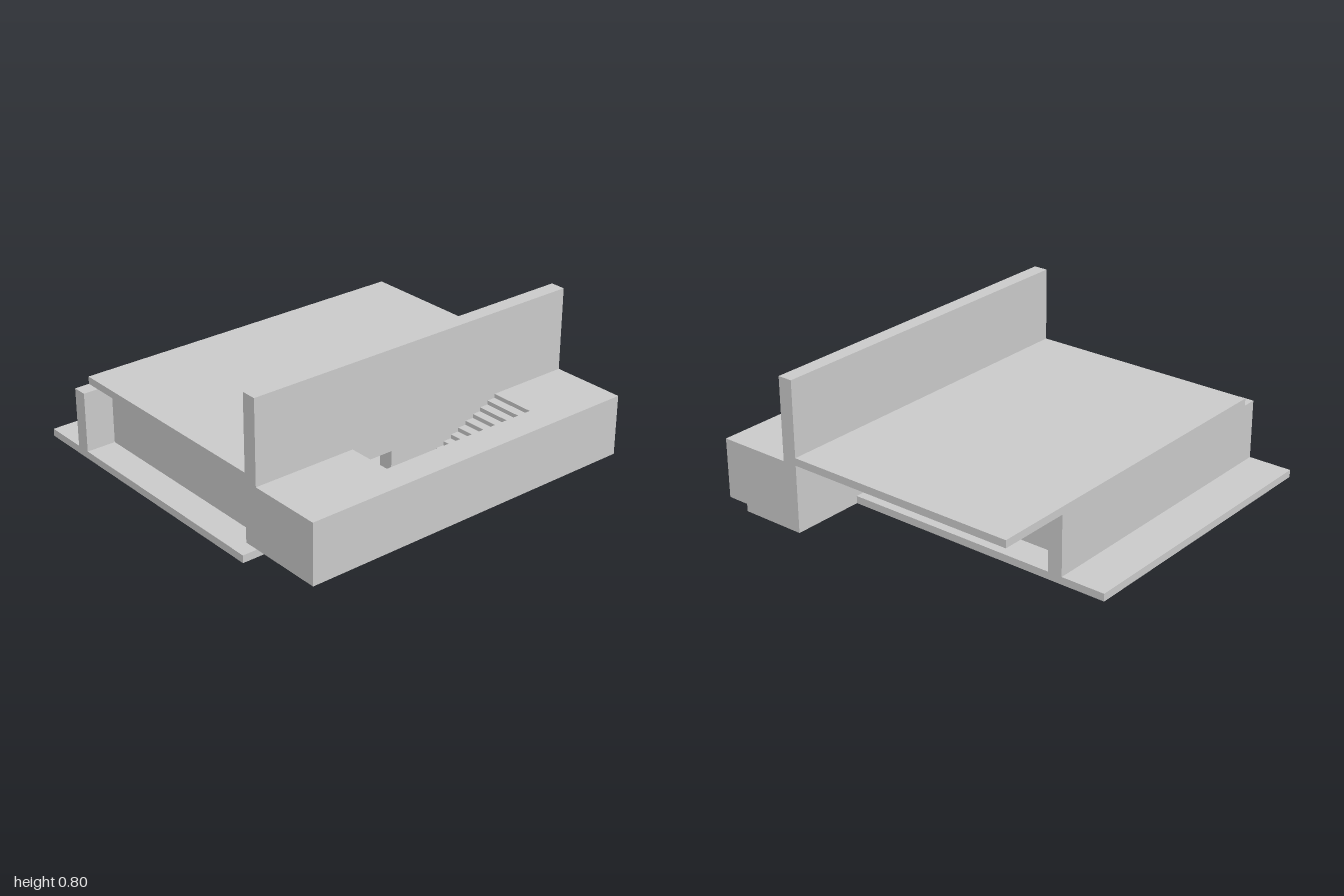
import * as THREE from 'three';

const material = new THREE.MeshStandardMaterial({ color: 0xcccccc, flatShading: true });

// Box given by its limits on each axis
function box(name, x0, x1, y0, y1, z0, z1) {
  const mesh = new THREE.Mesh(new THREE.BoxGeometry(x1 - x0, y1 - y0, z1 - z0), material);
  mesh.position.set((x0 + x1) / 2, (y0 + y1) / 2, (z0 + z1) / 2);
  mesh.name = name;
  return mesh;
}

function outline(points) {
  return new THREE.Shape(points.map(([x, y]) => new THREE.Vector2(x, y)));
}

// Upright extrusion: outline in (x, y), running from z0 to z1
function upright(name, points, z0, z1) {
  const geometry = new THREE.ExtrudeGeometry(outline(points), { depth: z1 - z0, bevelEnabled: false });
  const mesh = new THREE.Mesh(geometry, material);
  mesh.position.z = z0;
  mesh.name = name;
  return mesh;
}

// Flat slab: outline in (x, z), running from y0 to y1
function slab(name, points, y0, y1) {
  const shape = outline(points.map(([x, z]) => [x, -z]));
  const geometry = new THREE.ExtrudeGeometry(shape, { depth: y1 - y0, bevelEnabled: false });
  geometry.rotateX(-Math.PI / 2);
  const mesh = new THREE.Mesh(geometry, material);
  mesh.position.y = y0;
  mesh.name = name;
  return mesh;
}

export function createModel() {
  const model = new THREE.Group();
  model.name = 'building';
  const floor = 0.04, ceiling = 0.36;

  // Stepped floor plate
  model.add(slab('floorSlab', [
    [-1, -1], [0.6, -1], [0.6, 0.52], [1, 0.52], [1, 0.88],
    [-0.44, 0.88], [-0.44, 0.6], [-1, 0.6],
  ], 0, floor));

  // Front wall rising above the roof, with a doorway at floor level
  model.add(upright('frontWall', [
    [-0.92, floor], [-0.28, floor], [-0.28, 0.27], [-0.12, 0.27],
    [-0.12, floor], [1, floor], [1, 0.8], [-0.92, 0.8],
  ], 0.52, 0.6));

  // Rear wall, recessed side walls and overhanging roof
  model.add(box('backWall', -1, 0.6, floor, ceiling, -0.76, -0.68));
  model.add(box('rightSideWall', -0.84, -0.76, floor, ceiling, -0.68, 0.52));
  model.add(box('leftSideWall', 0.36, 0.44, floor, ceiling, -0.68, 0.52));
  model.add(box('roofSlab', -0.92, 1, ceiling, 0.4, -0.76, 0.52));

  // Front terrace, open to the wall around the stairwell
  model.add(slab('frontTerrace', [
    [-0.92, 0.6], [-0.36, 0.6], [-0.36, 0.84], [0.55, 0.84],
    [0.55, 0.6], [1, 0.6], [1, 1], [-0.92, 1],
  ], floor, ceiling));

  // Stairs climbing from the landing up to the terrace
  const steps = 14, start = -0.12, end = 0.55;
  const run = (end - start) / steps, rise = (ceiling - floor) / (steps + 1);
  const profile = [[end, floor]];
  for (let i = steps - 1; i >= 0; i--) {
    const y = floor + (i + 1) * rise;
    profile.push([start + (i + 1) * run, y], [start + i * run, y]);
  }
  profile.push([start, floor]);
  model.add(upright('stairs', profile, 0.6, 0.84));

  return model;
}
